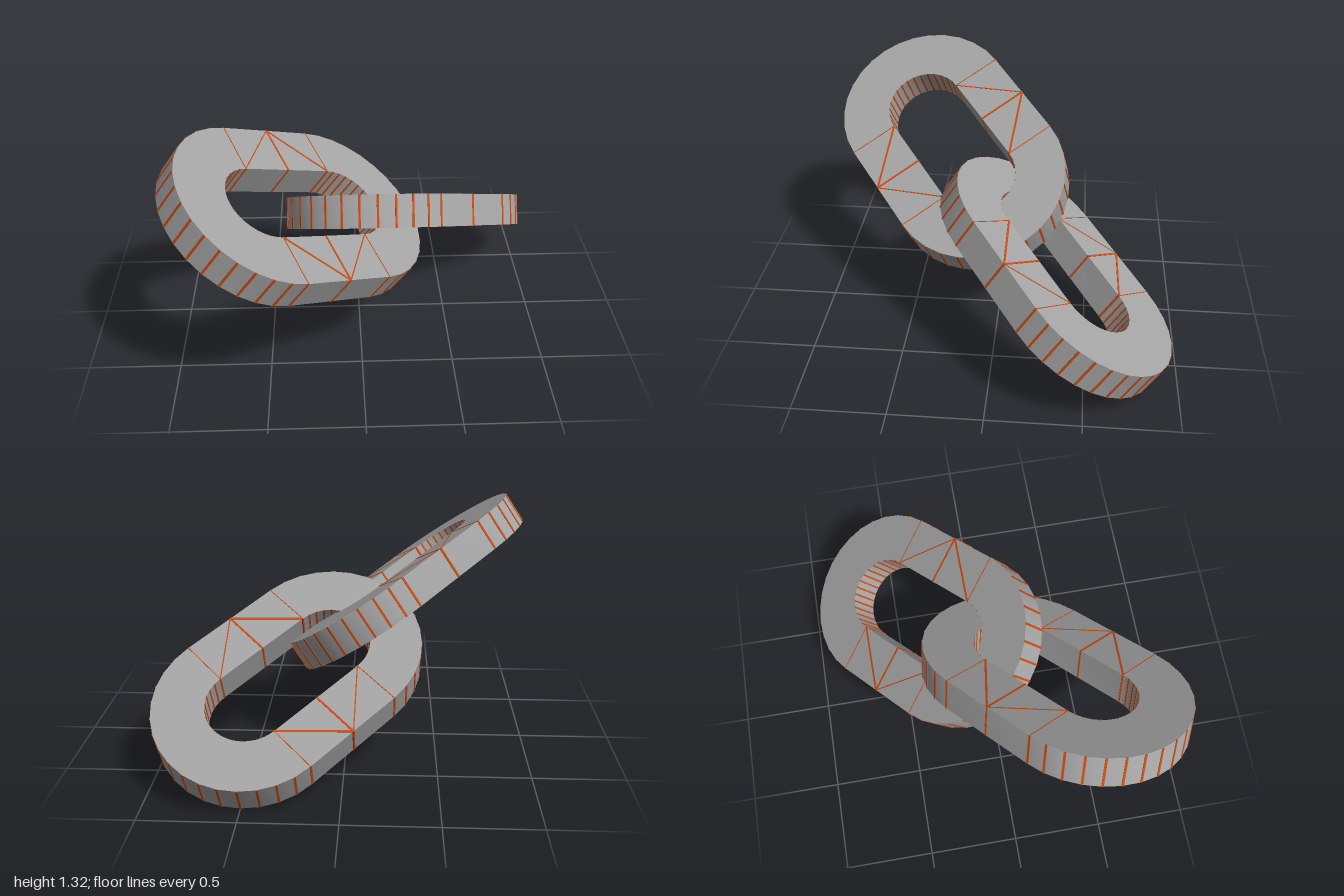
import * as THREE from 'three';
import { mergeGeometries, toCreasedNormals } from 'three/addons/utils/BufferGeometryUtils.js';

const R = 0.5, r = 0.22, H = 0.29, T = 0.18, SEG = 16;

// Rounded slot outline, long axis on x
function slot(path, rad) {
  path.moveTo(-H, -rad);
  path.lineTo(H, -rad);
  path.absarc(H, 0, rad, -Math.PI / 2, Math.PI / 2, false);
  path.lineTo(-H, rad);
  path.absarc(-H, 0, rad, Math.PI / 2, Math.PI * 1.5, false);
  return path;
}

function linkGeometry() {
  const shape = slot(new THREE.Shape(), R);
  shape.holes.push(slot(new THREE.Path(), r));
  const g = new THREE.ExtrudeGeometry(shape, { depth: T, bevelEnabled: false, curveSegments: SEG / 2 });
  g.translate(0, 0, -T / 2);
  return toCreasedNormals(g, 0.5);
}

// Thin strip in the xy plane at a point, turned to an angle
function strip(x, y, angle, length, width, depth) {
  return new THREE.BoxGeometry(length, width, depth).rotateZ(angle).translate(x, y, 0);
}

function seamGeometry() {
  const parts = [];
  const between = (ax, ay, bx, by, width) => parts.push(strip(
    (ax + bx) / 2, (ay + by) / 2, Math.atan2(by - ay, bx - ax),
    Math.hypot(bx - ax, by - ay), width, T + 0.004));

  // Lines across the outer and inner rims
  for (const rad of [R, r]) {
    const width = rad === R ? 0.012 : 0.01;
    for (const side of [-1, 1]) {
      for (let i = 0; i <= SEG; i++) {
        const a = -Math.PI / 2 + (i / SEG) * Math.PI;
        const angle = side > 0 ? a : Math.PI - a;
        parts.push(strip(side * H + rad * Math.cos(angle), rad * Math.sin(angle), angle, 0.005, width, T));
      }
      parts.push(strip(0, side * rad, Math.PI / 2, 0.005, width, T));
    }
  }

  // Fan of lines on the flat faces of both straight bars
  for (const s of [-1, 1]) {
    between(0, s * R, 0, s * r, 0.011);
    between(0, s * R, s * H, s * r, 0.011);
    between(0, s * R, -s * H, s * r, 0.006);
    for (const e of [-H, H]) between(e, s * R, e, s * r, 0.004);
  }
  return mergeGeometries(parts);
}

export function createModel() {
  const grey = new THREE.MeshStandardMaterial({ color: 0xa4a4a4 });
  grey.name = 'grey metal';
  const orange = new THREE.MeshStandardMaterial({ color: 0xcc4a10 });
  orange.name = 'orange seam';

  const body = linkGeometry(), seams = seamGeometry();
  const model = new THREE.Group();
  model.name = 'chainLinks';

  // Both links share one long axis and are rolled about it
  const tilt = 0.569;
  const axis = new THREE.Vector3(1, -Math.sin(tilt), -Math.cos(tilt)).normalize();
  const normal = new THREE.Vector3(0, Math.cos(tilt), -Math.sin(tilt));

  function addLink(name, position, roll) {
    const n = normal.clone().applyAxisAngle(axis, roll);
    const across = n.clone().cross(axis);
    const link = new THREE.Group();
    link.name = name;
    const ring = new THREE.Mesh(body, grey);
    ring.name = 'linkBody';
    const lines = new THREE.Mesh(seams, orange);
    lines.name = 'seamLines';
    link.add(ring, lines);
    link.quaternion.setFromRotationMatrix(new THREE.Matrix4().makeBasis(axis, across, n));
    link.position.set(...position);
    model.add(link);
  }

  addLink('lowerLink', [0.295, 0.457, -0.325], 0);
  addLink('upperLink', [-0.333, 0.852, 0.297], THREE.MathUtils.degToRad(52));
  return model;
}
